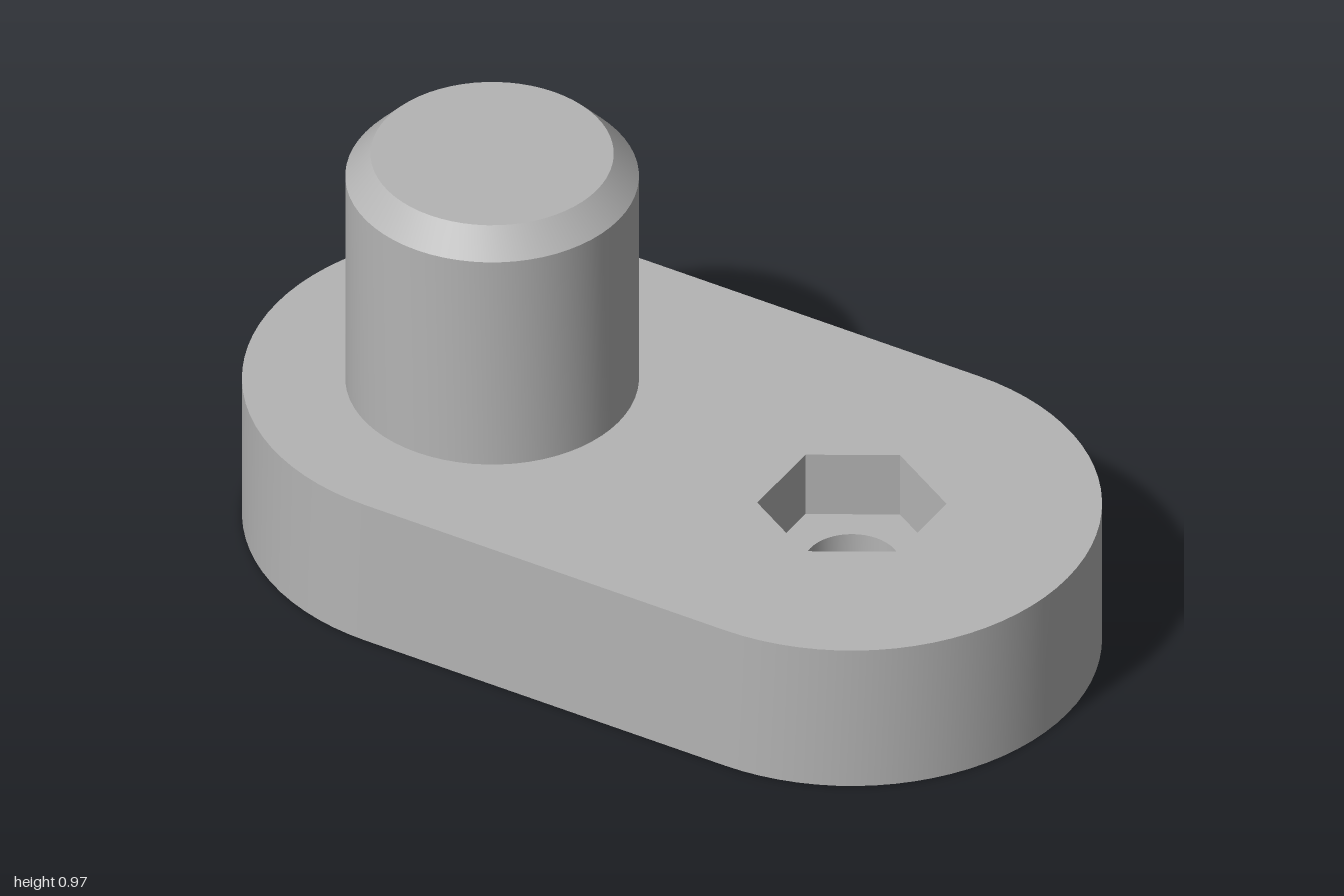
import * as THREE from 'three';
import { toCreasedNormals } from 'three/addons/utils/BufferGeometryUtils.js';

const HALF = 0.455;        // distance of post and bolt hole from the centre
const RADIUS = 0.545;      // rounded plate ends
const THICK = 0.365;       // plate thickness
const POCKET = 0.205;      // height of the nut pocket floor
const CREASE = 0.5;

// Counter-clockwise arc points in plan
function arc(cx, r, from, to, steps) {
  return Array.from({ length: steps + 1 }, (_, i) => {
    const a = from + ((to - from) * i) / steps;
    return new THREE.Vector2(cx + r * Math.cos(a), r * Math.sin(a));
  });
}

// Closed regular outline, without repeating the first point
function ring(cx, r, sides, start = 0) {
  return arc(cx, r, start, start + Math.PI * 2, sides).slice(0, -1);
}

// Flat horizontal face with an optional hole
function face(outline, hole, y, up = true) {
  const shape = new THREE.Shape(outline);
  if (hole) shape.holes.push(new THREE.Path(hole));
  return new THREE.ShapeGeometry(shape)
    .rotateX(up ? -Math.PI / 2 : Math.PI / 2)
    .translate(0, y, 0);
}

// Vertical wall along an outline; inward walls line a hole
function wall(outline, y0, y1, inward = false) {
  const pts = inward ? [...outline].reverse() : outline;
  const pos = [];
  pts.forEach((a, i) => {
    const b = pts[(i + 1) % pts.length];
    pos.push(a.x, y0, -a.y, b.x, y0, -b.y, b.x, y1, -b.y);
    pos.push(a.x, y0, -a.y, b.x, y1, -b.y, a.x, y1, -a.y);
  });
  const geo = new THREE.BufferGeometry();
  geo.setAttribute('position', new THREE.Float32BufferAttribute(pos, 3));
  return toCreasedNormals(geo, CREASE);
}

export function createModel() {
  const model = new THREE.Group();
  model.name = 'postPlate';
  const grey = new THREE.MeshStandardMaterial({ color: 0xb4b4b4 });
  grey.name = 'grey';

  const add = (parent, name, geometry) => {
    const mesh = new THREE.Mesh(geometry, grey);
    mesh.name = name;
    parent.add(mesh);
  };

  const q = Math.PI / 2;
  const outline = [...arc(HALF, RADIUS, -q, q, 40), ...arc(-HALF, RADIUS, q, 3 * q, 40)];
  const hexagon = ring(HALF, 0.206, 6, q);
  const bore = ring(HALF, 0.105, 48);

  // Rounded base plate
  const plate = new THREE.Group();
  plate.name = 'basePlate';
  model.add(plate);
  add(plate, 'plateTop', face(outline, hexagon, THICK));
  add(plate, 'plateBottom', face(outline, bore, 0, false));
  add(plate, 'plateRim', wall(outline, 0, THICK));

  // Hexagonal nut pocket above a round bolt hole
  add(plate, 'nutPocketWall', wall(hexagon, POCKET, THICK, true));
  add(plate, 'nutPocketFloor', face(hexagon, bore, POCKET));
  add(plate, 'boltHoleWall', wall(bore, 0, POCKET, true));

  // Upright post with a chamfered top
  const profile = [[0.32, THICK], [0.32, 0.91], [0.265, 0.97], [0, 0.97]]
    .map(([r, y]) => new THREE.Vector2(r, y));
  const post = toCreasedNormals(new THREE.LatheGeometry(profile, 64), CREASE);
  add(model, 'post', post.translate(-HALF, 0, 0));

  return model;
}
